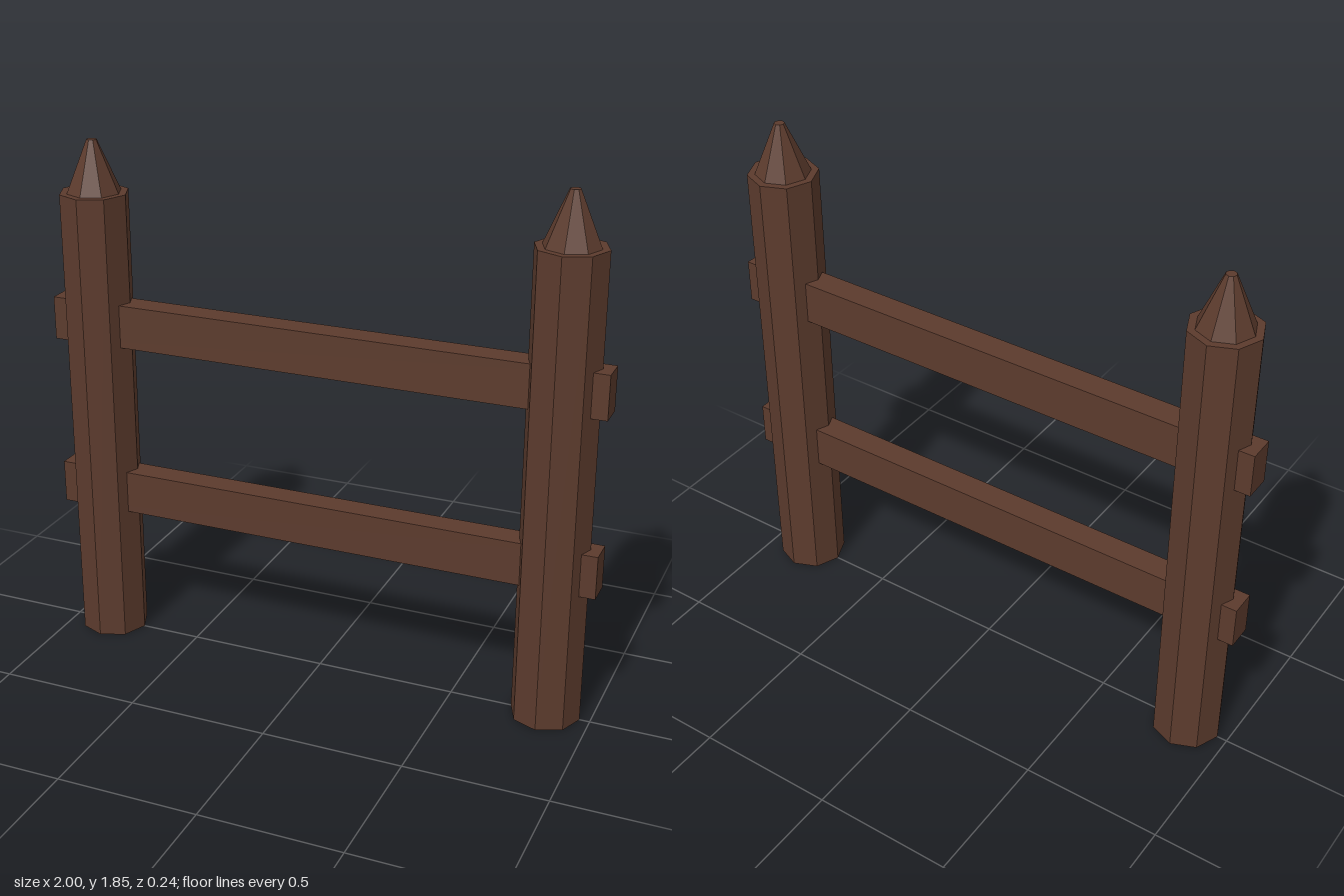
import * as THREE from 'three';

export function createModel() {
  const group = new THREE.Group();
  group.name = 'fence';
  const wood = new THREE.MeshStandardMaterial({ color: 0x5c3b2d, flatShading: true });
  wood.name = 'dark brown wood';

  const add = (name, geometry, x, y) => {
    const mesh = new THREE.Mesh(geometry, wood);
    mesh.name = name;
    mesh.position.set(x, y, 0);
    group.add(mesh);
  };

  // Octagonal posts with blunt pointed tips
  const postHeight = 1.67, tipHeight = 0.182;
  const post = new THREE.CylinderGeometry(0.122, 0.122, postHeight, 8);
  const tip = new THREE.CylinderGeometry(0.018, 0.096, tipHeight, 8);
  for (const [side, x] of [['left', 0.842], ['right', -0.842]]) {
    add(side + 'Post', post, x, postHeight / 2);
    add(side + 'PostTip', tip, x, postHeight + tipHeight / 2);
  }

  // Rails running through both posts
  const rail = new THREE.BoxGeometry(2, 0.155, 0.094);
  add('lowerRail', rail, 0, 0.573);
  add('upperRail', rail, 0, 1.207);

  return group;
}
